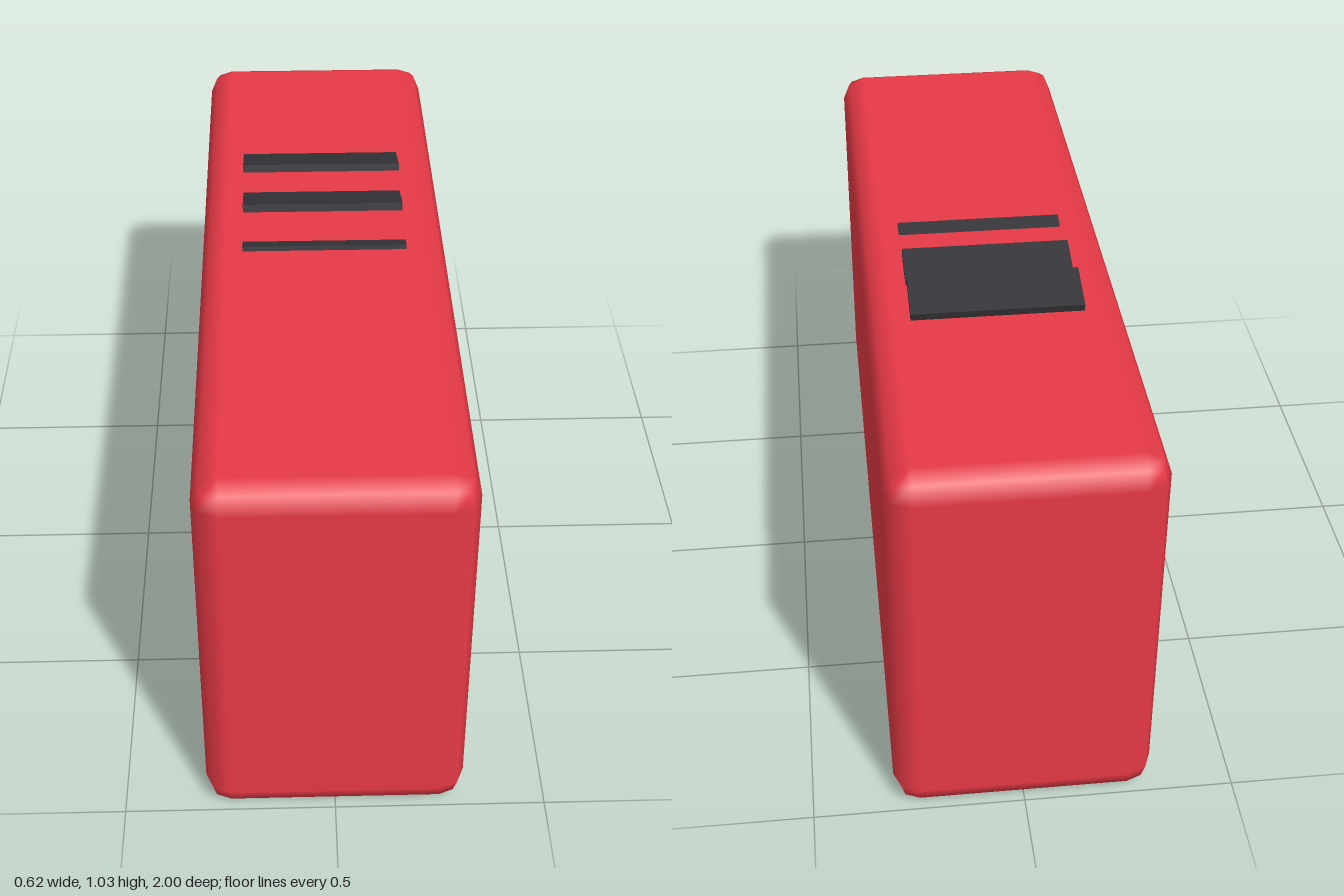
import * as THREE from 'three';
import { RoundedBoxGeometry } from 'three/addons/geometries/RoundedBoxGeometry.js';

export function createModel() {
  const model = new THREE.Group();
  const red = new THREE.MeshStandardMaterial({ color: 0xe63946 });
  const dark = new THREE.MeshStandardMaterial({ color: 0x333338 });

  // Long rounded housing
  const height = 0.975;
  const body = new THREE.Mesh(new RoundedBoxGeometry(0.615, height, 2, 1, 0.06), red);
  body.name = 'body';
  body.position.y = height / 2;
  model.add(body);

  // Three tilted vent slats, rising out of the top towards the back
  const vents = new THREE.Group();
  vents.name = 'vents';
  const slatGeometry = new THREE.BoxGeometry(0.41, 0.02, 0.122);
  for (let i = 0; i < 3; i++) {
    const slat = new THREE.Mesh(slatGeometry, dark);
    slat.name = `ventSlat${i + 1}`;
    slat.position.set(0, 0.961 + i * 0.0222, -0.002 - i * 0.167);
    slat.rotation.x = -0.262;
    vents.add(slat);
  }
  model.add(vents);

  return model;
}
